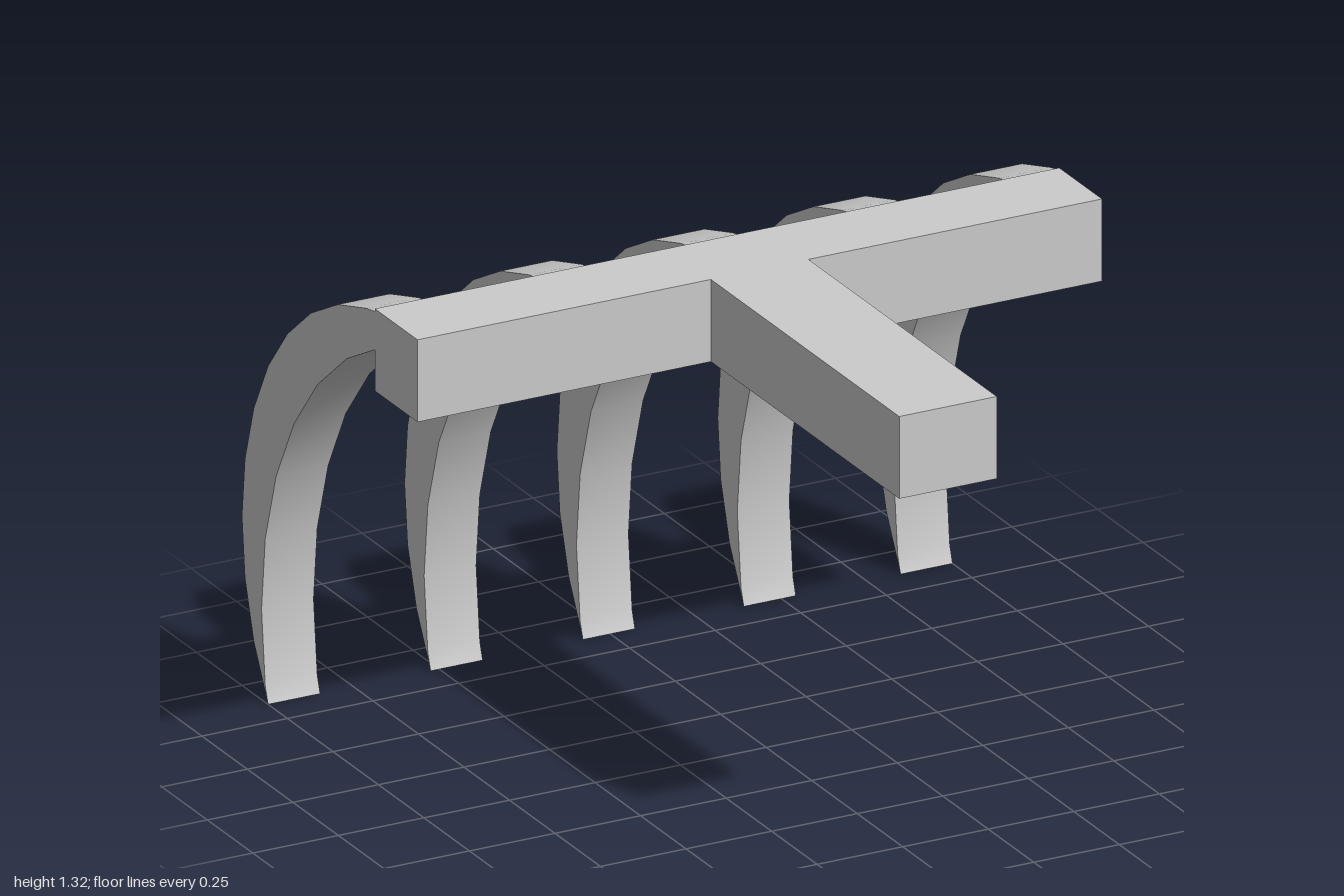
import * as THREE from 'three';
import { toCreasedNormals } from 'three/addons/utils/BufferGeometryUtils.js';

const STEP = Math.PI / 16;
const HEAD_BACK = 0.27; // distance of the head's back face behind the centre
const TINE_WIDTH = 0.152;

// Points on a circle, at whole steps of angle
function arc(cx, cy, r, from, to) {
  const points = [];
  const dir = Math.sign(to - from);
  for (let k = from; k !== to + dir; k += dir) {
    points.push(new THREE.Vector2(cx + r * Math.cos(k * STEP), cy + r * Math.sin(k * STEP)));
  }
  return points;
}

// Crescent side profile (x = distance backwards), swept across the width
function tineGeometry() {
  const profile = [
    ...arc(0.148, 0.474, 0.852, -3, 7), // outer curve, tip to root
    new THREE.Vector2(HEAD_BACK, 1.317),
    new THREE.Vector2(HEAD_BACK, 1.21),
    ...arc(-0.16, 0.253, 1.052, 5, -1), // inner curve, root to tip
  ];
  const geometry = new THREE.ExtrudeGeometry(new THREE.Shape(profile), {
    depth: TINE_WIDTH, bevelEnabled: false,
  });
  geometry.rotateY(Math.PI / 2);
  return toCreasedNormals(geometry, 0.5);
}

// T-shaped plan of crossbar and handle in one solid (plan y = -z)
function frameGeometry() {
  const plan = [
    [-0.143, -1], [0.142, -1], [0.142, 0.035], [1, 0.035],
    [1, HEAD_BACK], [-1, HEAD_BACK], [-1, 0.035], [-0.143, 0.035],
  ].map(([x, y]) => new THREE.Vector2(x, y));
  const geometry = new THREE.ExtrudeGeometry(new THREE.Shape(plan), {
    depth: 0.23, bevelEnabled: false,
  });
  return geometry.rotateX(-Math.PI / 2);
}

export function createModel() {
  const model = new THREE.Group();
  model.name = 'rake';
  const material = new THREE.MeshStandardMaterial({ color: 0xcccccc });

  // Crossbar and handle
  const frame = new THREE.Mesh(frameGeometry(), material);
  frame.name = 'crossbarAndHandle';
  frame.position.y = 1.095;
  model.add(frame);

  // Curved tines along the back of the crossbar
  const tines = new THREE.Group();
  tines.name = 'tines';
  const geometry = tineGeometry();
  [-1, -0.525, -0.08, 0.39, 0.848].forEach((x, i) => {
    const tine = new THREE.Mesh(geometry, material);
    tine.name = `tine${i + 1}`;
    tine.position.x = x;
    tines.add(tine);
  });
  model.add(tines);

  return model;
}
